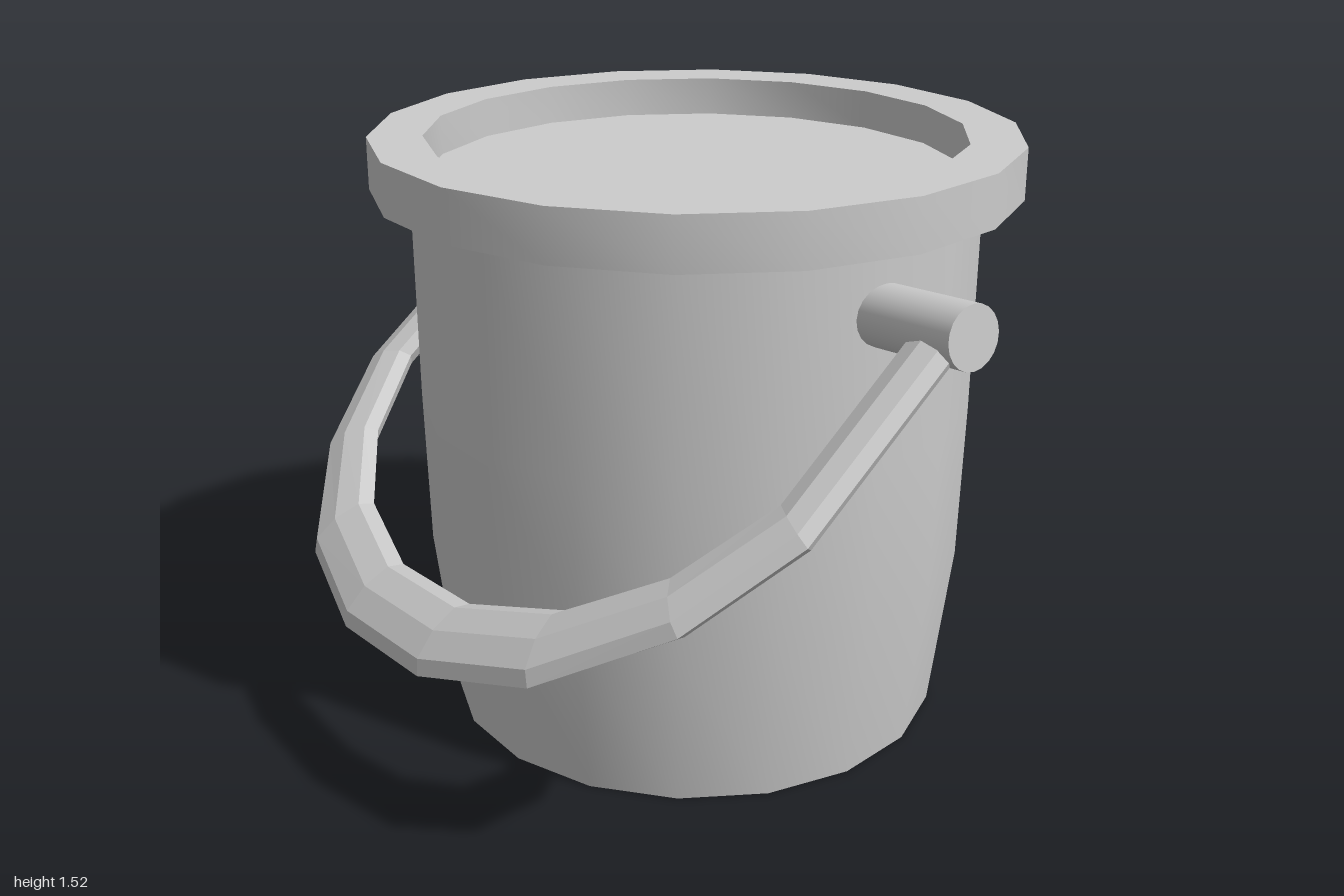
import * as THREE from 'three';
import { toCreasedNormals } from 'three/addons/utils/BufferGeometryUtils.js';

const SIDES = 18;
const CENTRE_Z = -0.1;
const material = new THREE.MeshStandardMaterial({ color: 0xcccccc });
const handleMaterial = new THREE.MeshStandardMaterial({ color: 0xcccccc, flatShading: true });

// Turned part with flat sides facing front and back
function turned(name, profile) {
  const points = profile.map(([r, y]) => new THREE.Vector2(r, y));
  const lathe = new THREE.LatheGeometry(points, SIDES, Math.PI / SIDES);
  const mesh = new THREE.Mesh(toCreasedNormals(lathe, 0.6), material);
  mesh.name = name;
  mesh.position.z = CENTRE_Z;
  return mesh;
}

// Flattened octagonal bar swept round the handle's bend, lying in the xz plane
function handleGeometry() {
  // centre x, z and half-width offset x, z of each cross-section
  const half = [
    [0.906, 0, 0.07, 0],
    [0.908, 0.55, 0.069, 0.033],
    [0.765, 0.818, 0.0625, 0.06],
    [0.5, 1.037, 0.035, 0.095],
    [0.175, 1.142, 0.01, 0.103],
  ];
  const mirrored = half.map(([x, z, dx, dz]) => [-x, z, -dx, dz]).reverse();
  const rings = [...half, ...mirrored];
  const n = 8, thickness = 0.04;
  const positions = [], index = [];
  rings.forEach(([x, z, dx, dz], i) => {
    for (let j = 0; j < n; j++) {
      const a = (j / n) * Math.PI * 2;
      positions.push(x + dx * Math.cos(a), thickness * Math.sin(a), z + dz * Math.cos(a));
      if (i === rings.length - 1) continue;
      const p = i * n + j, q = i * n + ((j + 1) % n);
      index.push(p, q, p + n, q, q + n, p + n);
    }
  });
  const geometry = new THREE.BufferGeometry();
  geometry.setAttribute('position', new THREE.Float32BufferAttribute(positions, 3));
  geometry.setIndex(index);
  geometry.computeVertexNormals();
  return geometry;
}

export function createModel() {
  const model = new THREE.Group();
  model.name = 'bucket';

  // Tapered body with a recessed base
  model.add(turned('body', [
    [0, 0.04], [0.585, 0.04], [0.585, 0], [0.65, 0],
    [0.701, 0.44], [0.71, 0.85], [0.713, 1.4],
  ]));

  // Overhanging lid with a sunken top
  model.add(turned('lid', [
    [0.69, 1.39], [0.812, 1.39], [0.812, 1.52],
    [0.675, 1.52], [0.675, 1.42], [0, 1.42],
  ]));

  // Pegs and handle hang slightly askew
  const swing = new THREE.Group();
  swing.name = 'handleAssembly';
  swing.position.set(0, 1.165, CENTRE_Z);
  swing.rotation.z = THREE.MathUtils.degToRad(4.8);
  model.add(swing);

  for (const side of [1, -1]) {
    const peg = new THREE.Mesh(new THREE.CylinderGeometry(0.075, 0.075, 0.34, 20), material);
    peg.name = side > 0 ? 'leftPeg' : 'rightPeg';
    peg.rotation.z = Math.PI / 2;
    peg.position.x = side * 0.82;
    swing.add(peg);
  }

  const handle = new THREE.Mesh(handleGeometry(), handleMaterial);
  handle.name = 'handle';
  handle.rotation.x = THREE.MathUtils.degToRad(38);
  swing.add(handle);

  return model;
}
